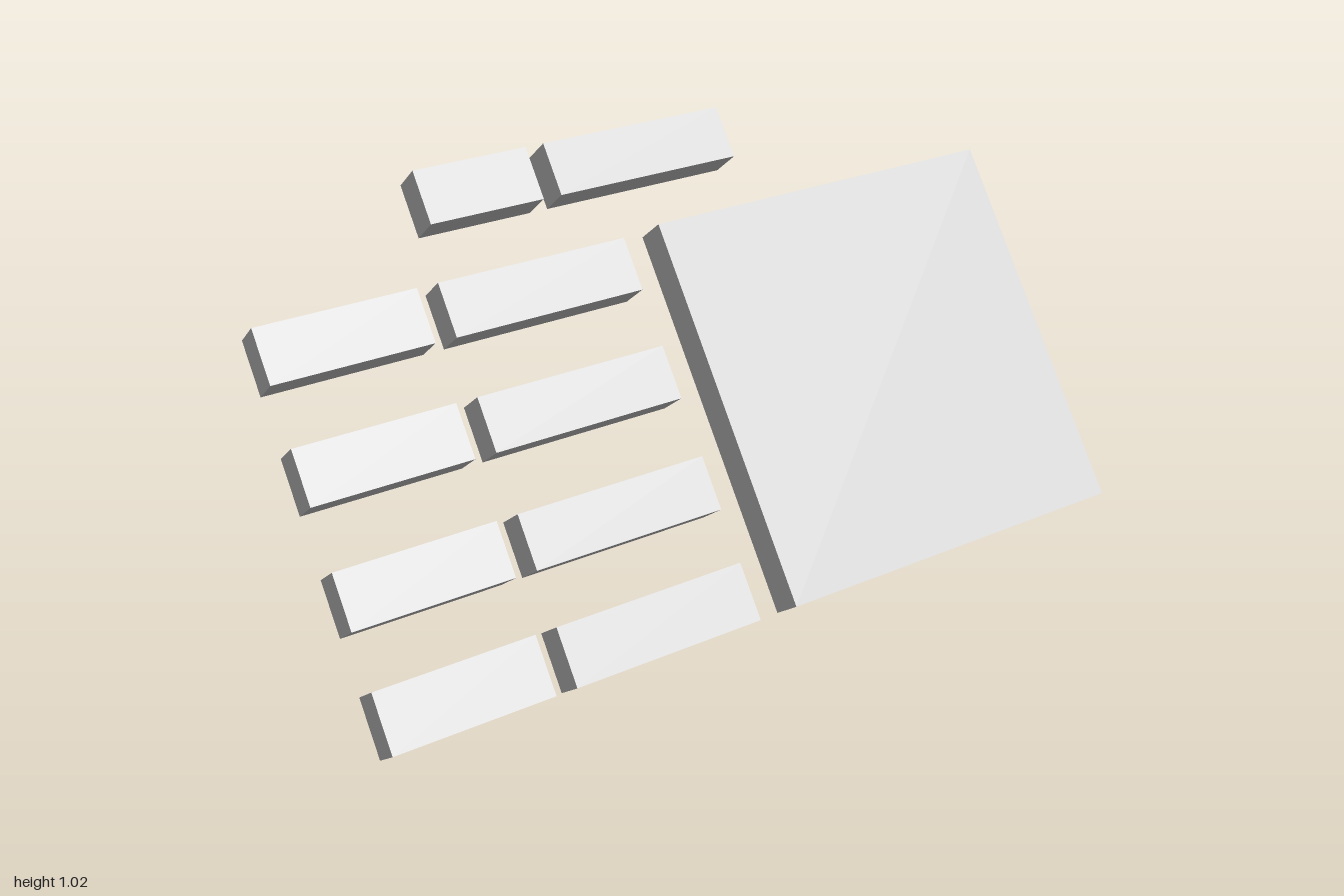
import * as THREE from 'three';

const THICK = 0.098;
const material = new THREE.MeshStandardMaterial({ color: 0xcccccc, flatShading: true });

// Block in the hand's plane, from x0 to x1, centred at height v
function block(name, x0, x1, v, height) {
  const mesh = new THREE.Mesh(new THREE.BoxGeometry(x1 - x0, height, THICK), material);
  mesh.name = name;
  mesh.position.set((x0 + x1) / 2, v, 0);
  return mesh;
}

// Two-segment digit: outer tip and inner base
function digit(name, v, height, tip, base) {
  const group = new THREE.Group();
  group.name = name;
  group.add(block(name + 'Tip', tip[0], tip[1], v, height));
  group.add(block(name + 'Base', base[0], base[1], v, height));
  return group;
}

export function createModel() {
  const model = new THREE.Group();
  model.name = 'blockHand';

  // All parts share one plane leaning backwards
  const hand = new THREE.Group();
  hand.name = 'hand';
  hand.rotation.x = THREE.MathUtils.degToRad(-39);
  hand.position.set(0, 0.409, 0.0815);
  model.add(hand);

  hand.add(block('palm', 0.028, 1, 0, 0.972));

  // Four fingers; the lowest is slightly wider
  const rows = [[0.407, 0.133], [0.131, 0.133], [-0.147, 0.133], [-0.4155, 0.141]];
  rows.forEach(([v, height], i) => {
    hand.add(digit('finger' + (i + 1), v, height, [-1, -0.612], [-0.56, -0.073]));
  });

  // Thumb above the palm
  hand.add(digit('thumb', 0.676, 0.133, [-0.53, -0.239], [-0.192, 0.297]));

  return model;
}
